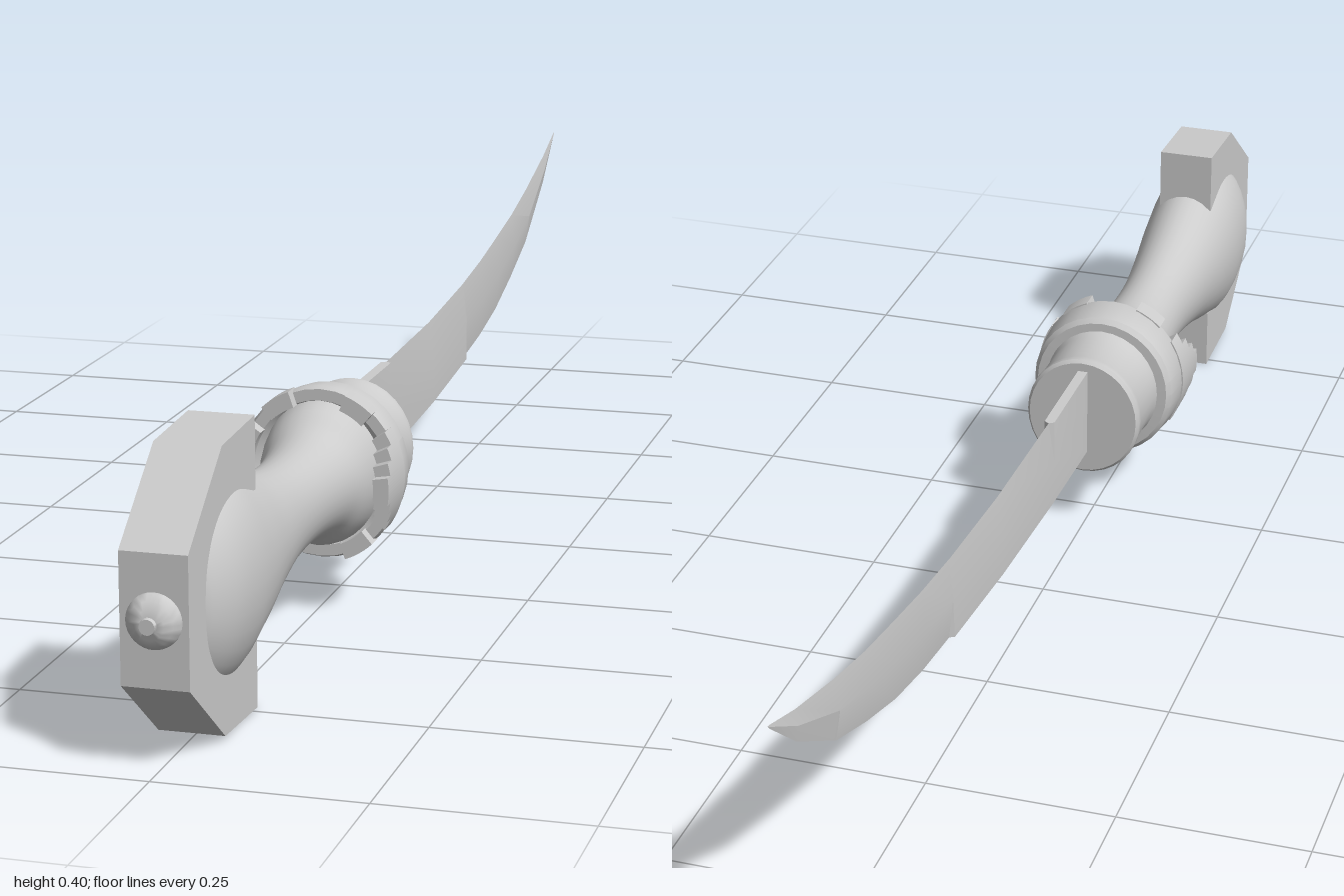
import * as THREE from 'three';
import { toCreasedNormals } from 'three/addons/utils/BufferGeometryUtils.js';

const CY = 0.178; // height of the hilt axis
const material = new THREE.MeshStandardMaterial({ color: 0xcccccc });

function mesh(name, geometry) {
  const m = new THREE.Mesh(geometry, material);
  m.name = name;
  return m;
}

// Skin counter-clockwise cross-sections ordered by growing z, with end caps.
function loft(rings) {
  const n = rings[0].length;
  const index = [];
  for (let i = 0; i < rings.length - 1; i++) {
    for (let j = 0; j < n; j++) {
      const k = (j + 1) % n;
      const a = i * n + j, b = i * n + k, c = (i + 1) * n + k, d = (i + 1) * n + j;
      index.push(a, b, c, a, c, d);
    }
  }
  const last = (rings.length - 1) * n;
  for (let j = 1; j < n - 1; j++) {
    index.push(0, j + 1, j, last, last + j, last + j + 1);
  }
  const g = new THREE.BufferGeometry();
  g.setAttribute('position', new THREE.Float32BufferAttribute(rings.flat(2), 3));
  g.setIndex(index);
  g.computeVertexNormals();
  return g;
}

// Turned part along z from [radius, z] pairs.
function turned(profile, scaleY = 1) {
  const g = new THREE.LatheGeometry(profile.map(p => new THREE.Vector2(...p)), 32);
  g.rotateX(Math.PI / 2).scale(1, scaleY, 1).translate(0, CY, 0);
  return toCreasedNormals(g, 0.6);
}

// Curved block: a slice of a ring, extruded from z0 to z1.
function arcBlock(a0, a1, rIn, rOut, z0, z1) {
  const s = new THREE.Shape();
  s.absarc(0, 0, rOut, a0, a1, false);
  s.absarc(0, 0, rIn, a1, a0, true);
  const g = new THREE.ExtrudeGeometry(s, { depth: z1 - z0, bevelEnabled: false, curveSegments: 5 });
  return g.scale(1, 1.05, 1).translate(0, CY, z0);
}

// Curved blade: [z, bottom y, top y, half width bottom, middle, top].
function makeBlade() {
  const stations = [
    [-0.995, 0.394, 0.399, 0, 0.0006, 0],
    [-0.92, 0.33, 0.373, 0, 0.003, 0],
    [-0.8, 0.256, 0.34, 0, 0.006, 0],
    [-0.7, 0.22, 0.317, 0, 0.006, 0],
    [-0.6, 0.19, 0.3, 0, 0.006, 0],
    [-0.5, 0.171, 0.284, 0, 0.006, 0],
    [-0.4, 0.159, 0.272, 0, 0.006, 0],
    [-0.395, 0.158, 0.271, 0.006, 0.006, 0],
    [-0.2, 0.14, 0.256, 0.007, 0.007, 0],
    [0.025, 0.127, 0.25, 0.007, 0.007, 0],
    [0.03, 0.127, 0.25, 0.007, 0.007, 0.007],
    [0.2, 0.123, 0.25, 0.007, 0.007, 0.007],
  ];
  const rings = stations.map(([z, lo, hi, b, m, t]) => {
    const mid = (lo + hi) / 2;
    return [[b, lo, z], [m, mid, z], [t, hi, z], [-t, hi, z], [-m, mid, z], [-b, lo, z]];
  });
  rings.unshift(Array.from({ length: 6 }, () => [0, 0.4, -1]));
  return mesh('blade', toCreasedNormals(loft(rings), 0.3));
}

// Waisted oval grip, swelling inside the pommel fork.
function makeGrip() {
  const keys = [ // z, half width, half height
    [0.3, 0.085, 0.1], [0.36, 0.074, 0.09], [0.4, 0.063, 0.07], [0.46, 0.054, 0.061],
    [0.55, 0.051, 0.063], [0.65, 0.059, 0.08], [0.74, 0.069, 0.107], [0.81, 0.072, 0.126],
    [0.87, 0.066, 0.115], [0.91, 0.048, 0.085], [0.925, 0.03, 0.05],
  ];
  const curve = new THREE.CatmullRomCurve3(keys.map(k => new THREE.Vector3(...k)));
  const rings = curve.getPoints(44).map(p => Array.from({ length: 32 }, (_, j) => {
    const a = (j / 32) * Math.PI * 2;
    return [p.y * Math.cos(a), CY + p.z * Math.sin(a), p.x];
  }));
  return mesh('grip', loft(rings));
}

// Angular C-shaped fork wrapped around the end of the grip.
function makePommelFork() {
  const outline = [
    [0.735, 0.353], [0.855, 0.347], [0.975, 0.255], [0.975, 0.1], [0.855, 0.008],
    [0.735, 0.002], [0.735, 0.09], [0.86, 0.09], [0.86, 0.265], [0.735, 0.265],
  ];
  const shape = new THREE.Shape(outline.map(p => new THREE.Vector2(...p)));
  const g = new THREE.ExtrudeGeometry(shape, { depth: 0.08, bevelEnabled: false });
  g.translate(0, 0, -0.04).rotateY(-Math.PI / 2);
  return mesh('pommelFork', g);
}

// Flared ring with stepped claws reaching over both sides of the grip.
function makeGuardRing() {
  const group = new THREE.Group();
  group.name = 'guardRing';
  group.add(mesh('ringBand', turned([
    [0.075, 0.282], [0.096, 0.283], [0.102, 0.29], [0.107, 0.335], [0.104, 0.342], [0.09, 0.342], [0.07, 0.325],
  ], 1.05)));
  const deg = Math.PI / 180;
  const claws = [ // start angle, end angle, reach in z
    [-9, 9, 0.408], [9, 17, 0.395], [-17, -9, 0.395],
    [17, 25, 0.378], [-25, -17, 0.378], [25, 34, 0.36], [-34, -25, 0.36],
    [48, 70, 0.358], [-70, -48, 0.358],
  ];
  for (const side of [0, 180]) {
    for (const [a, b, reach] of claws) {
      group.add(mesh('claw', arcBlock((a + side) * deg, (b + side) * deg, 0.088, 0.108, 0.33, reach)));
    }
  }
  return group;
}

export function createModel() {
  const model = new THREE.Group();
  model.name = 'curvedDagger';
  model.add(makeBlade(), makeGrip(), makePommelFork(), makeGuardRing());

  // Ferrule between blade and ring
  model.add(mesh('ferrule', turned([
    [0, 0.187], [0.078, 0.187], [0.082, 0.192], [0.082, 0.2], [0.08, 0.205],
    [0.08, 0.27], [0.084, 0.29], [0, 0.29],
  ], 1.08)));

  // Domed button on the end of the pommel
  model.add(mesh('pommelButton', turned([
    [0.033, 0.972], [0.032, 0.979], [0.026, 0.987], [0.017, 0.993], [0.01, 0.995], [0.009, 1], [0, 1],
  ])));
  return model;
}
